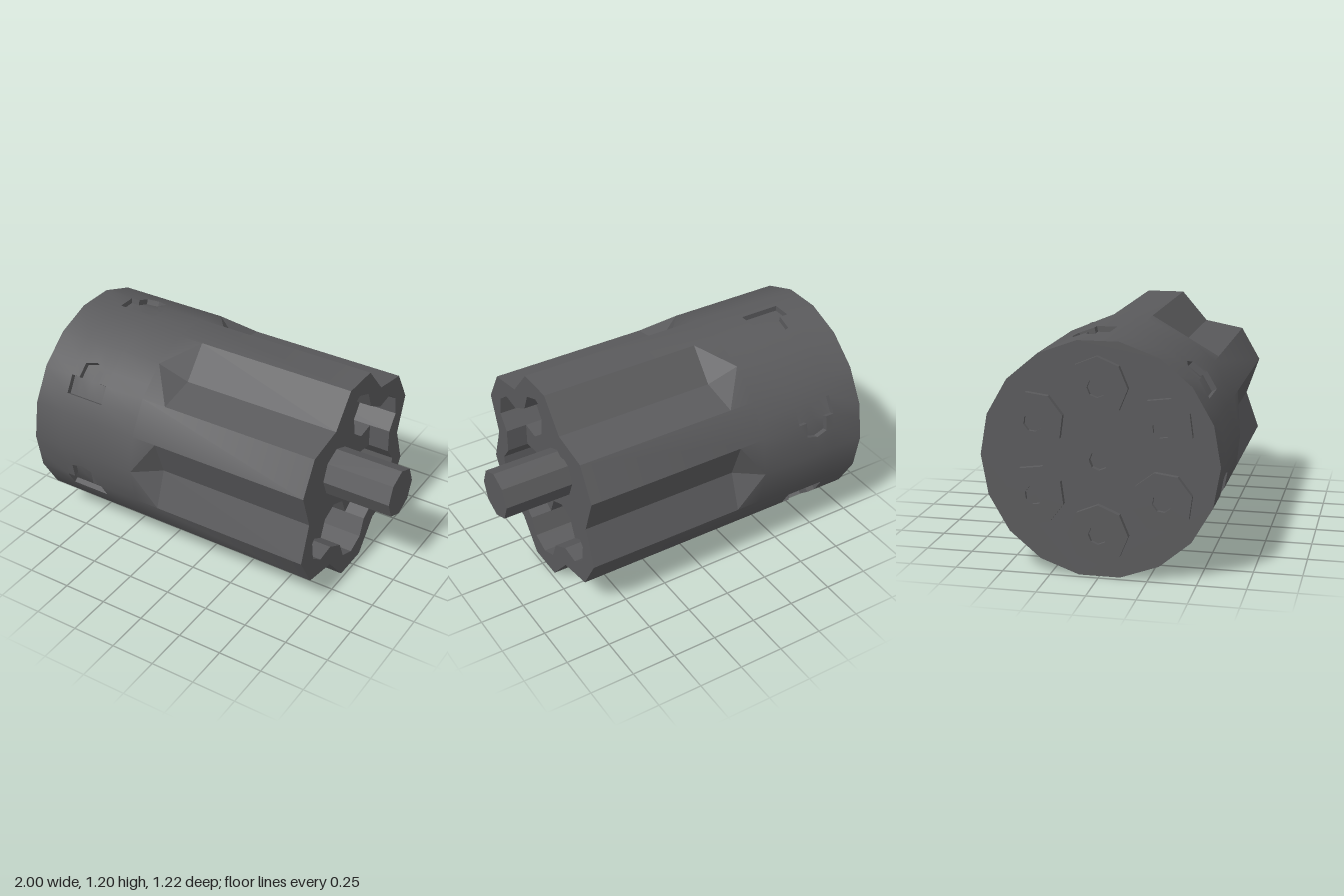
import * as THREE from 'three';
import { toCreasedNormals } from 'three/addons/utils/BufferGeometryUtils.js';

const CY = 0.6, R = 0.61, REAR = -0.97, FRONT = 0.73, FLOOR = 0.61;
const TIP = -0.32, FLUTE = -0.175, CHAMBER_END = 0.05;
const CREASE = 0.45;
const rad = THREE.MathUtils.degToRad;

// point at distance r from the axis, angle measured from up towards the front
const P = (x, deg, r = R) =>
  new THREE.Vector3(x, CY + r * Math.cos(rad(deg)), r * Math.sin(rad(deg)));

// radius of the 18-sided drum at any angle
const drumRadius = (deg) =>
  R * Math.cos(rad(10)) / Math.cos(rad(deg - 20 * Math.round(deg / 20)));

// corner of an octagonal chamber
const C = (x, k, phi) => {
  const p = P(x, 60 * k, 0.375), a = rad(60 * k + phi);
  p.y += 0.14 * Math.cos(a);
  p.z += 0.14 * Math.sin(a);
  return p;
};

function surface() {
  const pos = [];
  const tri = (a, b, c) => pos.push(...a, ...b, ...c);
  return {
    tri,
    quad(a, b, c, d) { tri(a, b, c); tri(a, c, d); },
    geometry() {
      const g = new THREE.BufferGeometry();
      g.setAttribute('position', new THREE.Float32BufferAttribute(pos, 3));
      return toCreasedNormals(g, CREASE);
    },
  };
}

// flat face across the axis; side 1 looks to +x, -1 to -x
function face(points, x, side, hole) {
  const flat = (list) => list.map((p) => new THREE.Vector2(-side * p.z, p.y));
  const shape = new THREE.Shape(flat(points));
  if (hole) shape.holes.push(new THREE.Path(flat(hole)));
  return new THREE.ShapeGeometry(shape).rotateY(side * Math.PI / 2).translate(x, 0, 0);
}

// eight-sided turned part along x, profile given as [radius, x]
function turned(profile) {
  const g = new THREE.LatheGeometry(profile.map(([r, x]) => new THREE.Vector2(r, x)), 8);
  return toCreasedNormals(g.rotateZ(-Math.PI / 2), CREASE);
}

// drum wall with T-shaped stop notches and pointed flutes
function drumGeometry() {
  const s = surface();
  const angles = [-30, -20, -10, 0, 10, 30];
  const xs = [REAR, -0.79, -0.74, -0.675, -0.61, -0.56, TIP];
  const isNotch = (i, j) => (i === 1 && (j === 2 || j === 3)) || (i === 2 && j >= 1 && j <= 4);

  for (let k = 0; k < 6; k++) {
    const t = 60 * k;
    const grid = (i, j, depth = 0) => {
      const a = i === 1 && j !== 3 ? -18 : angles[i];
      return P(xs[j], t + a, drumRadius(a) - depth);
    };
    for (let i = 0; i < angles.length - 1; i++) {
      for (let j = 0; j < xs.length - 1; j++) {
        const corners = [[i, j], [i + 1, j], [i + 1, j + 1], [i, j + 1]];
        const beside = [[i, j - 1], [i + 1, j], [i, j + 1], [i - 1, j]];
        const depth = isNotch(i, j) ? 0.03 : 0;
        s.quad(...corners.map(([m, n]) => grid(m, n, depth)));
        if (!depth) continue;
        beside.forEach((cell, e) => {
          if (isNotch(...cell)) return;
          const p = corners[e], q = corners[(e + 1) % 4];
          s.quad(grid(...p), grid(...q), grid(...q, depth), grid(...p, depth));
        });
      }
    }
    // land between two flutes
    s.quad(P(TIP, t - 10), P(TIP, t + 10), P(FRONT, t + 10), P(FRONT, t - 10));
    s.tri(P(TIP, t - 30), P(TIP, t - 10), P(FLUTE, t - 10));
    s.tri(P(TIP, t + 10), P(TIP, t + 30), P(FLUTE, t + 10));
    // V-shaped flute and its pointed end
    const low = (x) => P(x, t + 30, 0.5);
    s.quad(P(FLUTE, t + 10), low(FLUTE), low(FRONT), P(FRONT, t + 10));
    s.quad(low(FLUTE), P(FLUTE, t + 50), P(FRONT, t + 50), low(FRONT));
    s.tri(P(TIP, t + 30), low(FLUTE), P(FLUTE, t + 10));
    s.tri(P(TIP, t + 30), P(FLUTE, t + 50), low(FLUTE));
  }
  return s.geometry();
}

// inward-facing walls of the six chambers and the front recess
function chamberGeometry() {
  const s = surface();
  for (let k = 0; k < 6; k++) {
    for (let phi = -90; phi < 270; phi += 45) {
      const top = phi < 90 ? FRONT : FLOOR;
      s.quad(C(CHAMBER_END, k, phi + 45), C(CHAMBER_END, k, phi), C(top, k, phi), C(top, k, phi + 45));
    }
    s.quad(C(FLOOR, k + 1, -90), C(FLOOR, k, 90), C(FRONT, k, 90), C(FRONT, k + 1, -90));
  }
  return s.geometry();
}

export function createModel() {
  const gunmetal = new THREE.MeshStandardMaterial({ color: 0x5a5a5c });
  gunmetal.name = 'gunmetal';
  const model = new THREE.Group();
  model.name = 'revolvingDrum';
  const add = (name, geometry, parent = model) => {
    const mesh = new THREE.Mesh(geometry, gunmetal);
    mesh.name = name;
    parent.add(mesh);
    return mesh;
  };

  add('drumWall', drumGeometry());
  add('chamberWalls', chamberGeometry());

  // end faces
  const outline = [], rim = [], floor = [];
  for (let k = 0; k < 6; k++) {
    outline.push(P(0, 60 * k - 10), P(0, 60 * k + 10), P(0, 60 * k + 30, 0.5));
    for (let phi = -90; phi <= 90; phi += 45) {
      rim.push(C(0, k, phi));
      floor.push(C(0, k, -phi + 180 + (phi + 90) * 2 - 180 - phi + 0 === 0 ? 0 : 270 - (phi + 90)));
    }
  }
  add('frontFace', face(outline, FRONT, 1, rim));
  add('recessFloor', face(floor, FLOOR, 1));
  const ring = (n, start, r) => Array.from({ length: n }, (_, i) => P(0, start + i * 360 / n, r));
  add('rearFace', face(ring(18, 10, R), REAR, -1, ring(8, 0, 0.05)));

  // axle and its socket at the rear
  add('axle', turned([[0.137, FLOOR], [0.137, 1], [0, 1]])).position.y = CY;
  add('rearSocket', turned([[0, -0.94], [0.05, -0.94], [0.05, REAR]])).position.y = CY;

  // cartridges: rim with primer pocket behind, rounded nose in the chamber
  const base = turned([[0, -0.98], [0.05, -0.98], [0.05, -1], [0.155, -1], [0.155, REAR]]);
  const nose = turned([[0.14, CHAMBER_END], [0.13, CHAMBER_END], [0.13, 0.1], [0.122, 0.1],
    [0.122, 0.14], [0.1, 0.24], [0.065, 0.3], [0, 0.3]]);
  for (let k = 0; k < 6; k++) {
    const cartridge = new THREE.Group();
    cartridge.name = 'cartridge' + (k + 1);
    add('cartridgeBase', base, cartridge);
    add('cartridgeNose', nose, cartridge);
    cartridge.position.copy(P(0, 60 * k, 0.375));
    cartridge.rotation.x = rad(60 * k);
    model.add(cartridge);
  }
  return model;
}
